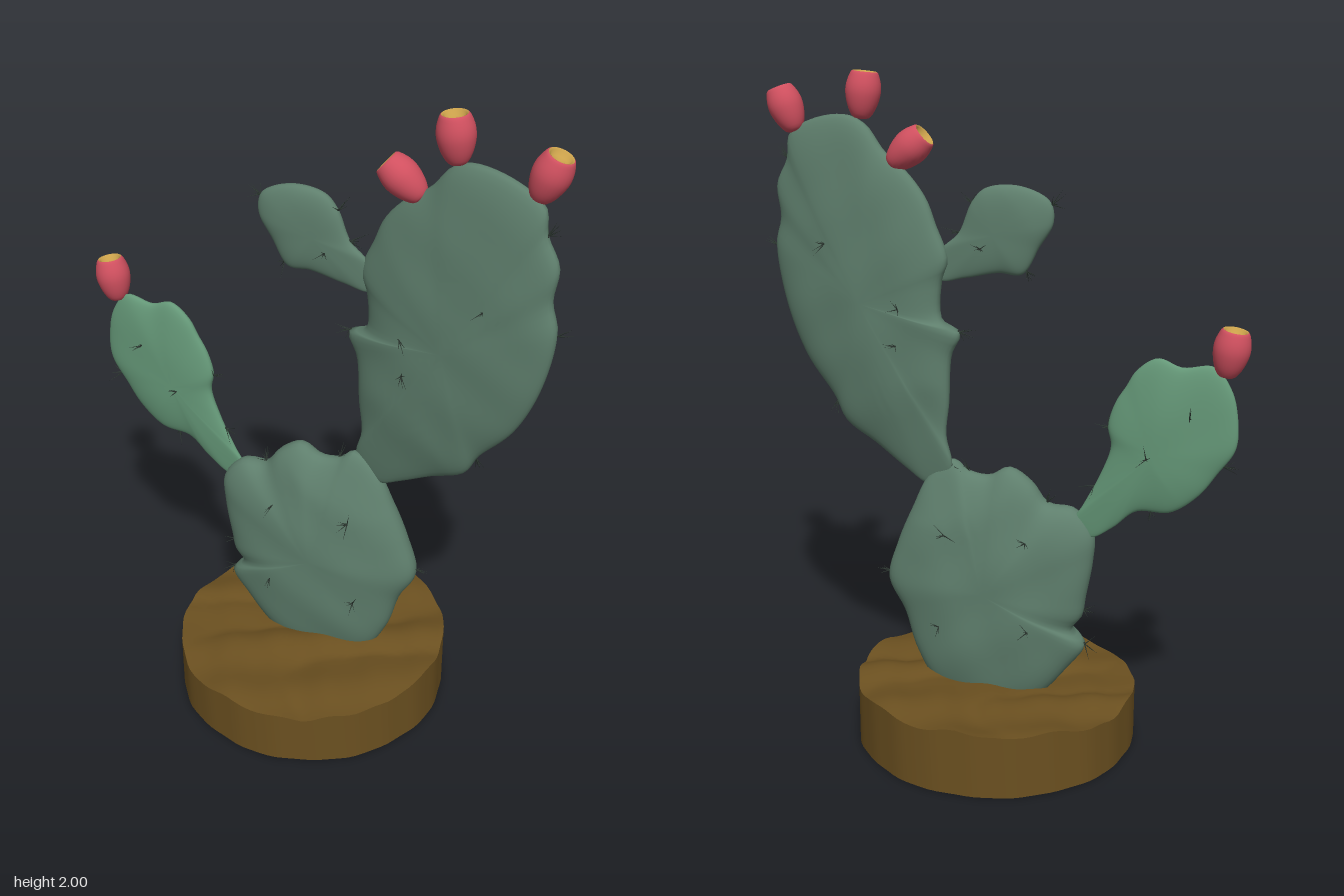
import * as THREE from 'three';
import { mergeGeometries, mergeVertices, toCreasedNormals } from 'three/addons/utils/BufferGeometryUtils.js';

const mat = (color) => new THREE.MeshStandardMaterial({ color });
const padMat = mat(0x5f7f6d), youngMat = mat(0x659878), soilMat = mat(0x6b5020);
const fruitMat = mat(0xd0505f), dishMat = mat(0xc9a04a), spineMat = mat(0x2f3a33);

let seed = 7;
const rand = () => (seed = (seed * 16807) % 2147483647) / 2147483647 * 2 - 1;

function named(name, geometry, material) {
  const m = new THREE.Mesh(geometry, material);
  m.name = name;
  return m;
}

// One thin tapered needle from p along d
function needle(p, d, len) {
  const g = new THREE.ConeGeometry(0.0022, len, 4).translate(0, len / 2 - 0.006, 0);
  g.applyQuaternion(new THREE.Quaternion().setFromUnitVectors(new THREE.Vector3(0, 1, 0), d));
  return g.translate(p.x, p.y, p.z);
}

// Flat pad: closed outline swept front to back, thinner toward its neck, leaning with x
function makePad({ name, outline, neck, thick, z0, slope, material, spines }) {
  const group = new THREE.Group();
  group.name = name;
  const curve = new THREE.CatmullRomCurve3(outline.map(([x, y]) => new THREE.Vector3(x, y, 0)), true, 'centripetal');
  const N = 120, M = 28;
  const rim = curve.getSpacedPoints(N).slice(0, N);
  if (THREE.ShapeUtils.isClockWise(rim)) rim.reverse();
  const c = new THREE.Box3().setFromPoints(rim).getCenter(new THREE.Vector3());

  const surface = (x, y, w) => {
    const taper = Math.min(1, 0.42 + Math.hypot(x - neck[0], y - neck[1]) * 1.9);
    const bump = 1 + 0.05 * Math.sin(x * 23 + y * 9) * Math.sin(y * 19 - x * 6);
    return z0 + slope * x + thick * taper * bump * Math.sign(w) * Math.abs(w) ** 0.85;
  };
  const pos = [], index = [];
  for (let j = 0; j <= M; j++) {
    const phi = (j / M) * Math.PI, s = Math.sin(phi);
    for (let i = 0; i < N; i++) {
      const x = c.x + (rim[i].x - c.x) * s, y = c.y + (rim[i].y - c.y) * s;
      pos.push(x, y, surface(x, y, Math.cos(phi)));
      if (j === M) continue;
      const k = (i + 1) % N, a = j * N + i, b = a + N, d = j * N + k, e = d + N;
      index.push(a, b, e, a, e, d);
    }
  }
  let geo = new THREE.BufferGeometry();
  geo.setAttribute('position', new THREE.Float32BufferAttribute(pos, 3));
  geo.setIndex(index);
  geo = mergeVertices(geo, 1e-5);
  geo.computeVertexNormals();
  group.add(named(name + 'Body', geo, material));

  // Needle clusters: along the rim they point outward, elsewhere they sit on both faces
  const needles = [];
  const cluster = (p, n) => {
    for (let i = 0; i < 6; i++) {
      const d = n.clone().add(new THREE.Vector3(rand(), rand(), rand()).multiplyScalar(0.75)).normalize();
      needles.push(needle(p, d, 0.045 + 0.018 * rand()));
    }
  };
  for (const [x, y] of spines) {
    const dir = new THREE.Vector3(x - c.x, y - c.y, 0);
    const r = dir.length();
    dir.normalize();
    const edge = rim.reduce((best, q) => {
      const f = q.clone().sub(c).normalize().dot(dir);
      return f > best.f ? { f, q } : best;
    }, { f: -2, q: rim[0] }).q;
    const s = r / edge.distanceTo(c);
    if (s > 0.88) cluster(new THREE.Vector3(edge.x, edge.y, surface(edge.x, edge.y, 0)), dir);
    else for (const side of [1, -1]) {
      const w = side * Math.sqrt(1 - s * s);
      cluster(new THREE.Vector3(x, y, surface(x, y, w)), new THREE.Vector3(0, 0.2, side));
    }
  }
  group.add(named(name + 'Spines', mergeGeometries(needles), spineMat));
  return group;
}

// Egg-shaped fruit with a sunken yellow crown
function makeFruit([x, y, z], [dx, dy, dz]) {
  const group = new THREE.Group();
  group.name = 'fruit';
  const v = (a) => a.map(([r, h]) => new THREE.Vector2(r, h));
  const skin = new THREE.SplineCurve(v([[0.001, 0], [0.024, 0.004], [0.041, 0.032], [0.051, 0.07],
    [0.05, 0.1], [0.041, 0.128], [0.035, 0.135]])).getPoints(20);
  group.add(named('fruitSkin', new THREE.LatheGeometry(skin, 28), fruitMat));
  group.add(named('fruitCrown', new THREE.LatheGeometry(
    v([[0.035, 0.135], [0.029, 0.132], [0.022, 0.12], [0, 0.117]]), 28), dishMat));
  group.position.set(x, y, z);
  group.quaternion.setFromUnitVectors(new THREE.Vector3(0, 1, 0), new THREE.Vector3(dx, dy, dz).normalize());
  return group;
}

// Round bed of soil with an uneven top
function makeSoil() {
  const R = 0.425, prof = [[0, 0], [R, 0], [R, 0.09]];
  for (let i = 0; i <= 24; i++) prof.push([R * (1 - i / 24), 0.18]);
  let geo = new THREE.LatheGeometry(prof.map(([r, h]) => new THREE.Vector2(r, h)), 96);
  const p = geo.attributes.position;
  for (let i = 0; i < p.count; i++) {
    const x = p.getX(i), z = p.getZ(i), a = Math.atan2(z, x);
    if (p.getY(i) > 0.1) {
      const ridge = Math.abs(Math.sin(x * 9 + 2 * Math.sin(z * 8) + z * 5));
      p.setY(i, 0.173 + 0.03 * x - 0.028 * z + 0.012 * ridge
        + 0.006 * Math.sin(z * 24 + x * 11) + 0.004 * Math.sin(x * 38 - z * 17));
    }
    const k = 1 + 0.005 * Math.sin(a * 9) + 0.003 * Math.sin(a * 22 + 1);
    p.setX(i, x * k);
    p.setZ(i, z * k);
  }
  geo.deleteAttribute('uv');
  geo.deleteAttribute('normal');
  geo = toCreasedNormals(mergeVertices(geo, 1e-4), 0.7);
  const soil = named('soil', geo, soilMat);
  soil.position.x = 0.012;
  return soil;
}

export function createModel() {
  const model = new THREE.Group();
  model.name = 'cactus';
  model.add(makeSoil());

  model.add(makePad({
    name: 'basePad', neck: [0.2, 0.98], thick: 0.088, z0: -0.018, slope: 0, material: padMat,
    outline: [[-0.1, 0.12], [0.03, 0.09], [0.18, 0.13], [0.26, 0.25], [0.3, 0.38], [0.35, 0.48], [0.32, 0.6],
      [0.27, 0.72], [0.22, 0.82], [0.14, 0.88], [0.1, 0.85], [0.03, 0.84], [-0.03, 0.87], [-0.1, 0.83],
      [-0.15, 0.77], [-0.23, 0.76], [-0.29, 0.69], [-0.29, 0.6], [-0.27, 0.48], [-0.26, 0.42],
      [-0.23, 0.375], [-0.27, 0.33], [-0.22, 0.25]],
    spines: [[-0.16, 0.79], [-0.27, 0.44], [0.34, 0.5], [0.1, 0.86], [-0.27, 0.32], [0.15, 0.66], [-0.11, 0.38], [0.17, 0.36], [-0.1, 0.66]],
  }));

  model.add(makePad({
    name: 'tallPad', neck: [0.19, 0.8], thick: 0.064, z0: -0.072, slope: 0.26, material: padMat,
    outline: [[0.22, 0.79], [0.3, 0.83], [0.4, 0.89], [0.51, 0.95], [0.55, 1.02], [0.65, 1.14], [0.72, 1.3],
      [0.75, 1.48], [0.73, 1.56], [0.74, 1.66], [0.7, 1.74], [0.69, 1.81], [0.6, 1.86], [0.48, 1.875],
      [0.42, 1.85], [0.36, 1.78], [0.28, 1.72], [0.22, 1.65], [0.19, 1.58], [0.15, 1.48], [0.17, 1.42],
      [0.17, 1.3], [0.11, 1.27], [0.14, 1.2], [0.15, 1.05], [0.16, 0.95], [0.14, 0.86], [0.17, 0.81]],
    spines: [[0.31, 1.22], [0.3, 1.33], [0.54, 1.03], [0.11, 1.27], [0.71, 1.75], [0.75, 1.46], [0.15, 0.88], [0.55, 1.5]],
  }));

  model.add(makePad({
    name: 'rightPad', neck: [-0.26, 0.7], thick: 0.034, z0: -0.008, slope: 0.085, material: youngMat,
    outline: [[-0.28, 0.68], [-0.35, 0.72], [-0.42, 0.78], [-0.52, 0.79], [-0.6, 0.85], [-0.65, 0.92], [-0.7, 1],
      [-0.7, 1.1], [-0.68, 1.17], [-0.63, 1.23], [-0.54, 1.22], [-0.47, 1.24], [-0.41, 1.2], [-0.38, 1.15],
      [-0.35, 1.1], [-0.33, 1.03], [-0.34, 0.97], [-0.31, 0.88], [-0.26, 0.78], [-0.23, 0.72]],
    spines: [[-0.57, 1.08], [-0.33, 1.03], [-0.67, 0.94], [-0.47, 0.78], [-0.3, 0.85], [-0.45, 0.95]],
  }));

  model.add(makePad({
    name: 'smallPad', neck: [0.17, 1.44], thick: 0.036, z0: -0.024, slope: 0.03, material: padMat,
    outline: [[0.18, 1.42], [0.1, 1.43], [0, 1.45], [-0.07, 1.45], [-0.12, 1.53], [-0.16, 1.6], [-0.15, 1.66],
      [-0.06, 1.7], [0.04, 1.69], [0.08, 1.65], [0.12, 1.56], [0.18, 1.5]],
    spines: [[0.11, 1.56], [0.08, 1.65], [-0.16, 1.65], [-0.08, 1.46], [0.05, 1.52]],
  }));

  // Fruits: foot position and growing direction
  const fruits = [
    [[0.438, 1.865, 0.05], [-0.1, 1, 0.03]],
    [[0.335, 1.74, 0.014], [-0.72, 0.62, 0.03]],
    [[0.662, 1.82, 0.088], [0.4, 1, 0.03]],
    [[-0.662, 1.205, -0.065], [-0.17, 1, -0.03]],
  ];
  for (const [foot, dir] of fruits) model.add(makeFruit(foot, dir));
  return model;
}
